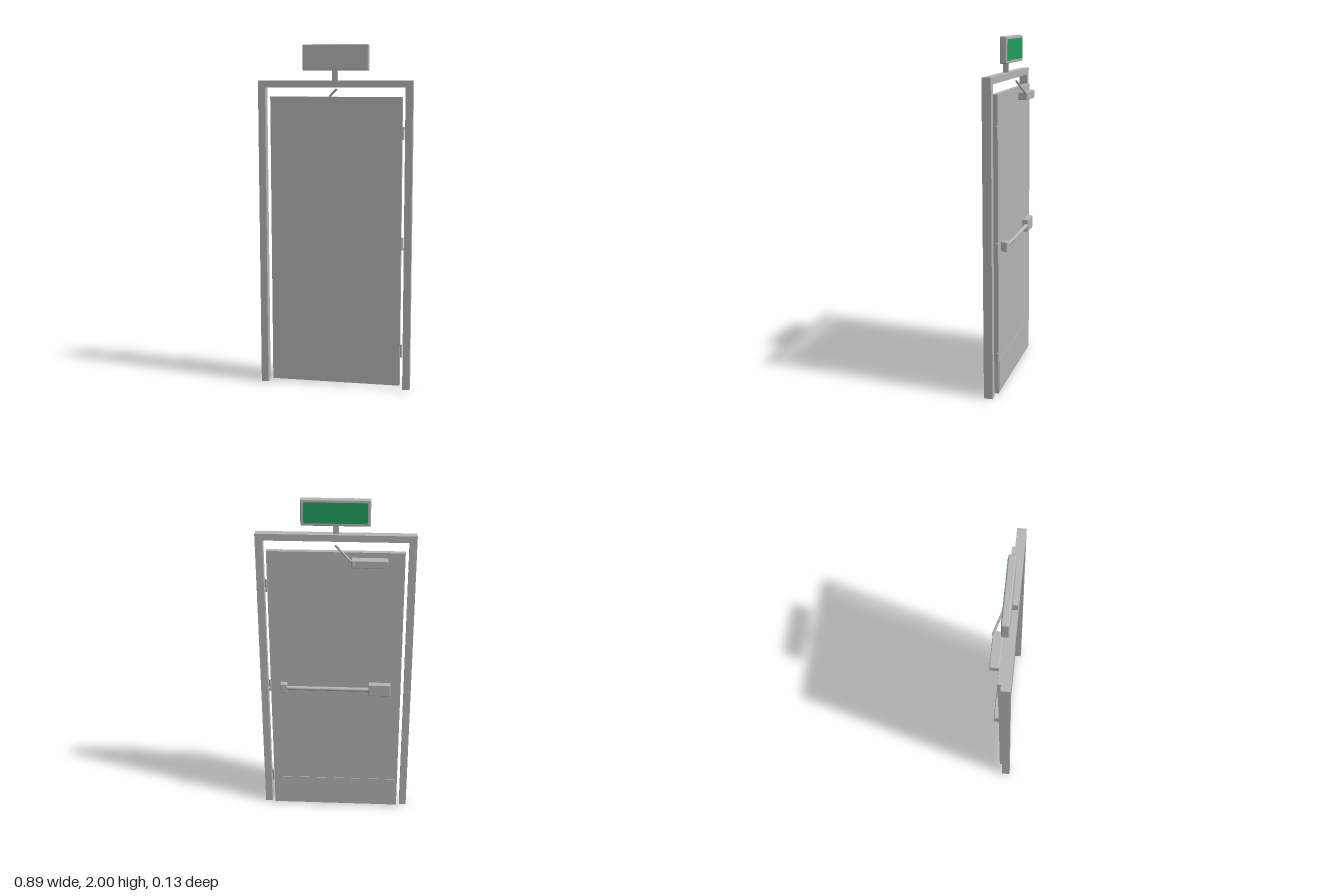
import * as THREE from 'three';
import { RoundedBoxGeometry } from 'three/addons/geometries/RoundedBoxGeometry.js';

export function createModel() {
  const model = new THREE.Group();
  model.name = 'emergencyExitDoor';

  const grey = new THREE.MeshStandardMaterial({ name: 'paintedGrey', color: 0xb4b4b4 });
  const green = new THREE.MeshStandardMaterial({ name: 'signGreen', color: 0x1f9d5c });

  const add = (name, geometry, material = grey) => {
    const mesh = new THREE.Mesh(geometry, material);
    mesh.name = name;
    model.add(mesh);
    return mesh;
  };

  // Box given by its limits on each axis; a radius rounds its edges
  const block = (name, [x0, x1], [y0, y1], [z0, z1], radius = 0, material = grey) => {
    const size = [x1 - x0, y1 - y0, z1 - z0];
    const geometry = radius
      ? new RoundedBoxGeometry(...size, 2, radius)
      : new THREE.BoxGeometry(...size);
    geometry.translate((x0 + x1) / 2, (y0 + y1) / 2, (z0 + z1) / 2);
    return add(name, geometry, material);
  };

  // Frame: one extruded outline, open at the floor
  const w = 0.447, inner = 0.405, top = 1.795, head = 1.757;
  const outline = new THREE.Shape([
    [-w, 0], [-inner, 0], [-inner, head], [inner, head],
    [inner, 0], [w, 0], [w, top], [-w, top],
  ].map(([x, y]) => new THREE.Vector2(x, y)));
  const frame = new THREE.ExtrudeGeometry(outline, { depth: 0.05, bevelEnabled: false });
  frame.translate(0, 0, 0.015);
  add('doorFrame', frame);

  // Door leaf and kick plate
  block('doorLeaf', [-0.385, 0.384], [0.01, 1.704], [-0.005, 0.027]);
  block('kickPlate', [-0.37, 0.37], [0.025, 0.205], [-0.008, -0.005]);

  // Hinges along the left edge
  for (const y of [0.215, 0.857, 1.498]) {
    const hinge = add('hinge', new THREE.CylinderGeometry(0.0075, 0.0075, 0.075, 16));
    hinge.position.set(0.388, y, -0.002);
  }

  // Push bar with latch box and end cap
  block('latchBox', [-0.325, -0.195], [0.82, 0.895], [-0.041, -0.005], 0.005);
  block('barEndCap', [0.285, 0.325], [0.829, 0.886], [-0.041, -0.005], 0.005);
  const bar = add('pushBar', new THREE.CylinderGeometry(0.012, 0.012, 0.5, 20));
  bar.rotation.z = Math.PI / 2;
  bar.position.set(0.045, 0.857, -0.029);

  // Door closer and its arm
  block('closerBody', [-0.29, -0.088], [1.63, 1.676], [-0.058, -0.005], 0.005);
  const from = new THREE.Vector3(-0.103, 1.653, -0.059);
  const to = new THREE.Vector3(0, 1.748, -0.013);
  const arm = add('closerArm', new THREE.BoxGeometry(0.012, 0.008, from.distanceTo(to)));
  arm.position.copy(from).add(to).multiplyScalar(0.5);
  arm.lookAt(to);

  // Sign above the frame
  block('signStem', [-0.015, 0.015], [top, 1.854], [0.031, 0.061]);
  block('signCase', [-0.191, 0.191], [1.852, 2], [-0.006, 0.034], 0.007);
  block('signPanel', [-0.174, 0.174], [1.868, 1.984], [-0.008, -0.004], 0, green);

  return model;
}
